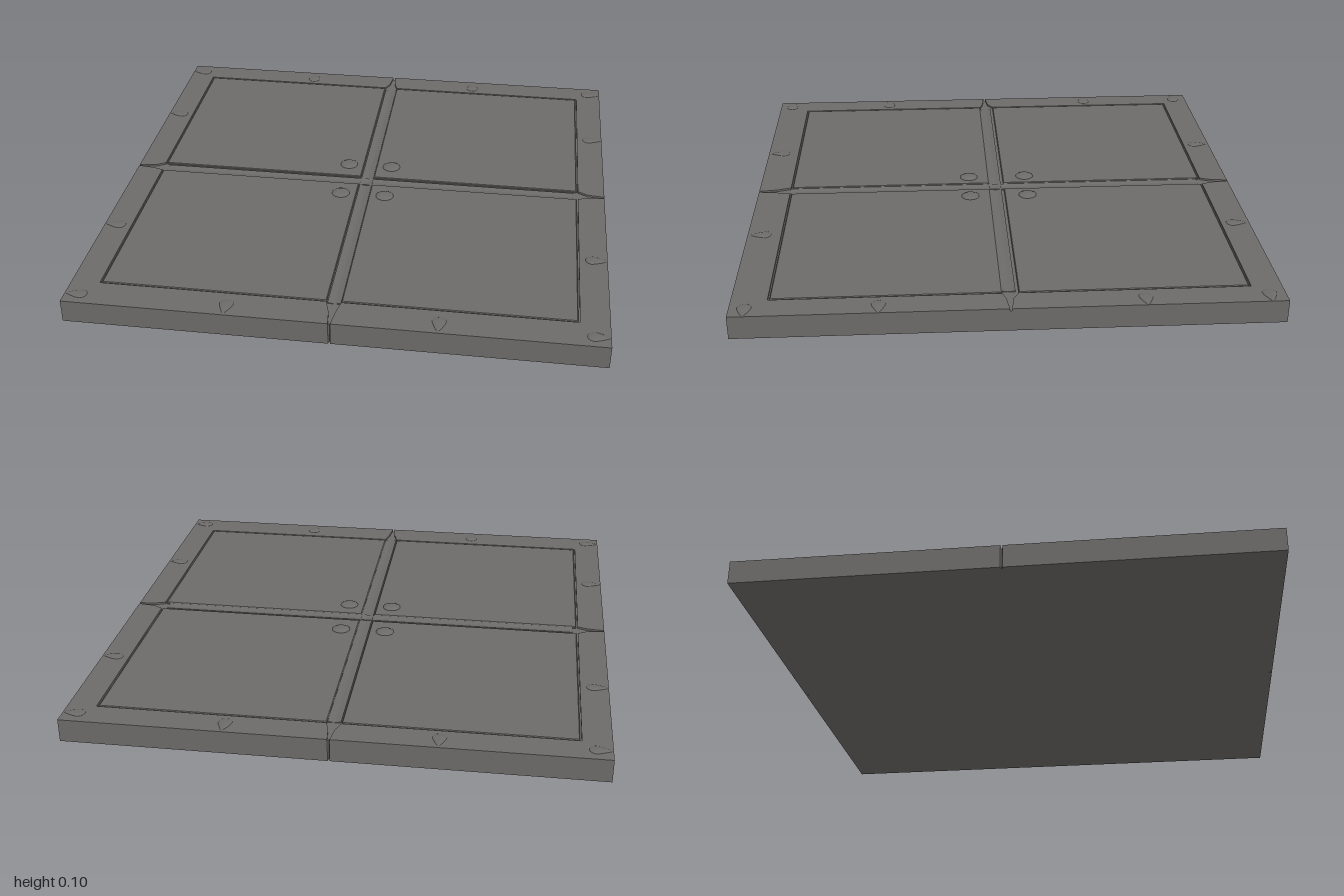
import * as THREE from 'three';

const TOP = 0.09;    // upper surface
const FLOOR = 0.082; // bottom of the grooves

// Extrude an outline given in (x, z) downwards from a height.
function plate(points, top, depth, bevel = 0) {
  const shape = new THREE.Shape(points.map(([x, z]) => new THREE.Vector2(x, z)));
  const geo = new THREE.ExtrudeGeometry(shape, {
    depth: depth - bevel, bevelEnabled: bevel > 0, bevelThickness: bevel,
    bevelSize: bevel, bevelOffset: -bevel, bevelSegments: 1,
  });
  geo.rotateX(Math.PI / 2);
  geo.translate(0, top - bevel, 0);
  return geo;
}

// Low teardrop with its point towards +x.
function dropGeometry() {
  const geo = new THREE.SphereGeometry(1, 14, 6, 0, Math.PI * 2, 0, Math.PI / 2);
  const p = geo.attributes.position;
  for (let i = 0; i < p.count; i++) {
    const x = p.getX(i), t = Math.max(0, x);
    p.setXYZ(i, x * (x > 0 ? 0.055 : 0.028), p.getY(i) * 0.005, p.getZ(i) * 0.027 * (1 - 0.6 * t));
  }
  geo.computeVertexNormals();
  return geo;
}

export function createModel() {
  const group = new THREE.Group();
  const metal = new THREE.MeshStandardMaterial({ color: 0x6d6b69 });
  metal.name = 'dark grey metal';

  function add(name, geo, x = 0, y = 0, z = 0) {
    const mesh = new THREE.Mesh(geo, metal);
    mesh.name = name;
    mesh.position.set(x, y, z);
    group.add(mesh);
    return mesh;
  }

  // Base slab with narrow seams in the front, back and left-hand edges
  const s = 0.004, d = 0.985;
  add('baseSlab', plate([
    [-1, -1], [-s, -1], [0, -d], [s, -1], [1, -1], [1, 1],
    [s, 1], [0, d], [-s, 1], [-1, 1], [-1, s], [-d, 0], [-1, -s],
  ], FLOOR, FLOOR));

  // Four tiles, each an inset panel with an L-shaped border
  const gap = 0.006;
  for (const sx of [-1, 1]) {
    for (const sz of [-1, 1]) {
      const x0 = sx < 0 ? -0.03 : 0.025, x1 = sx * 0.885;
      const z0 = sz < 0 ? -0.035 : 0.025, z1 = sz < 0 ? -0.88 : 0.862;
      const gx = sx * gap, gz = sz * gap;
      add('panel', plate([[x0, z0], [x1, z0], [x1, z1], [x0, z1]], TOP, TOP - FLOOR, 0.003));
      // The border closes in on the centre seam towards the outer edge
      add('border', plate([
        [x1 + gx, z0], [sx * 0.93, sz * 0.012], [sx, sz * s], [sx, sz],
        [sx * s, sz], [sx * 0.012, sz * 0.93], [x0, z1 + gz], [x1 + gx, z1 + gz],
      ], TOP, TOP - FLOOR));
    }
  }

  // Sloping sides of the cross-shaped channel
  const channel = new THREE.Shape();
  channel.moveTo(-0.026, 0);
  channel.lineTo(0.024, 0);
  channel.lineTo(0.024, 0.005);
  channel.lineTo(0.003, 0.001);
  channel.lineTo(-0.004, 0.001);
  channel.lineTo(-0.026, 0.005);
  const strip = new THREE.ExtrudeGeometry(channel, { depth: 1.74, bevelEnabled: false });
  strip.translate(0, FLOOR, -0.87);
  for (const turn of [0, Math.PI / 2]) add('channel', strip).rotation.y = turn;

  // Domed knobs around the centre
  const knob = new THREE.LatheGeometry([
    [0.037, 0], [0.036, 0.003], [0.032, 0.005], [0.03, 0.005], [0.026, 0.008], [0.014, 0.0095], [0, 0.01],
  ].map(([r, y]) => new THREE.Vector2(r, y)), 20);
  for (const x of [-0.095, 0.09]) {
    for (const z of [-0.13, 0.11]) add('knob', knob, x, TOP, z);
  }

  // Teardrop studs around the rim, pointing outwards
  const drop = dropGeometry();
  for (const side of [-1, 1]) {
    for (const z of [-0.94, -0.49, 0.47, 0.945]) {
      add('stud', drop, side * 0.943, TOP, z).rotation.y = side > 0 ? 0 : Math.PI;
    }
    for (const x of [-0.39, 0.39]) {
      add('stud', drop, x, TOP, side * 0.935).rotation.y = -side * Math.PI / 2;
    }
  }
  return group;
}
